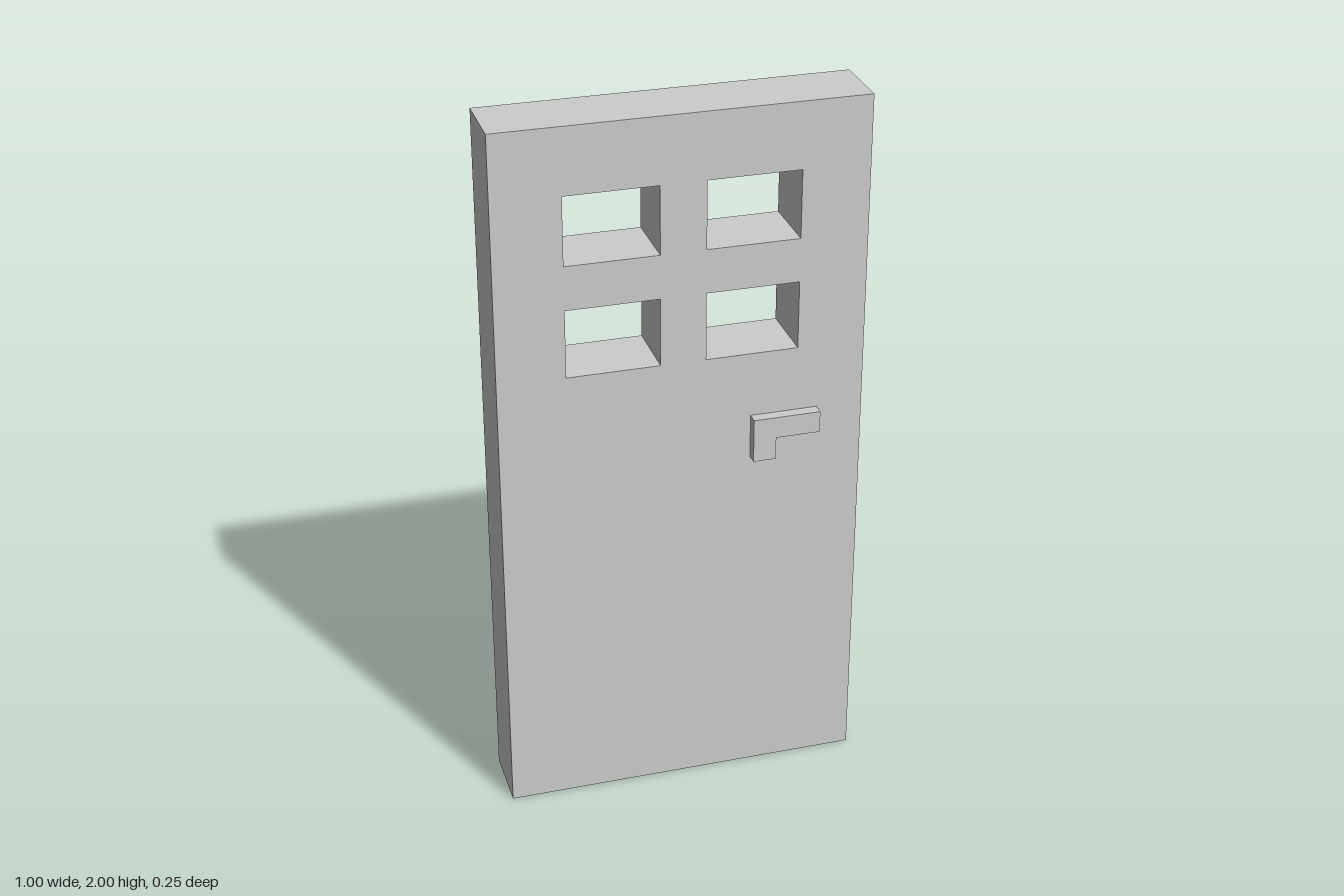
import * as THREE from 'three';

const DEPTH = 0.186;
const HANDLE_DEPTH = 0.032;

// Closed outline from a list of corner points
function outline(points, Type = THREE.Shape) {
  const path = new Type();
  points.forEach(([x, y], i) => (i ? path.lineTo(x, y) : path.moveTo(x, y)));
  path.closePath();
  return path;
}

const rect = (x0, x1, y0, y1, Type) =>
  outline([[x0, y0], [x1, y0], [x1, y1], [x0, y1]], Type);

export function createModel() {
  const group = new THREE.Group();
  group.name = 'door';

  const paint = new THREE.MeshStandardMaterial({ color: 0xcccccc });
  paint.name = 'light grey';

  // Extrudes a shape so that its back face lies at z
  function addPart(name, shape, depth, z) {
    const geometry = new THREE.ExtrudeGeometry(shape, { depth, bevelEnabled: false });
    geometry.translate(0, 0, z);
    const mesh = new THREE.Mesh(geometry, paint);
    mesh.name = name;
    group.add(mesh);
  }

  // Door slab with four open window holes
  const slab = rect(-0.5, 0.5, 0, 2);
  for (const [y0, y1] of [[1.312, 1.503], [1.626, 1.816]]) {
    for (const [x0, x1] of [[-0.315, -0.062], [0.062, 0.315]]) {
      slab.holes.push(rect(x0, x1, y0, y1, THREE.Path));
    }
  }
  addPart('doorSlab', slab, DEPTH, -DEPTH / 2);

  // L-shaped handles on both faces
  const handle = outline([
    [0.187, 1.003], [0.25, 1.003], [0.25, 1.067],
    [0.373, 1.067], [0.373, 1.128], [0.187, 1.128],
  ]);
  addPart('frontHandle', handle, HANDLE_DEPTH, DEPTH / 2);
  addPart('backHandle', handle, HANDLE_DEPTH, -DEPTH / 2 - HANDLE_DEPTH);

  return group;
}
